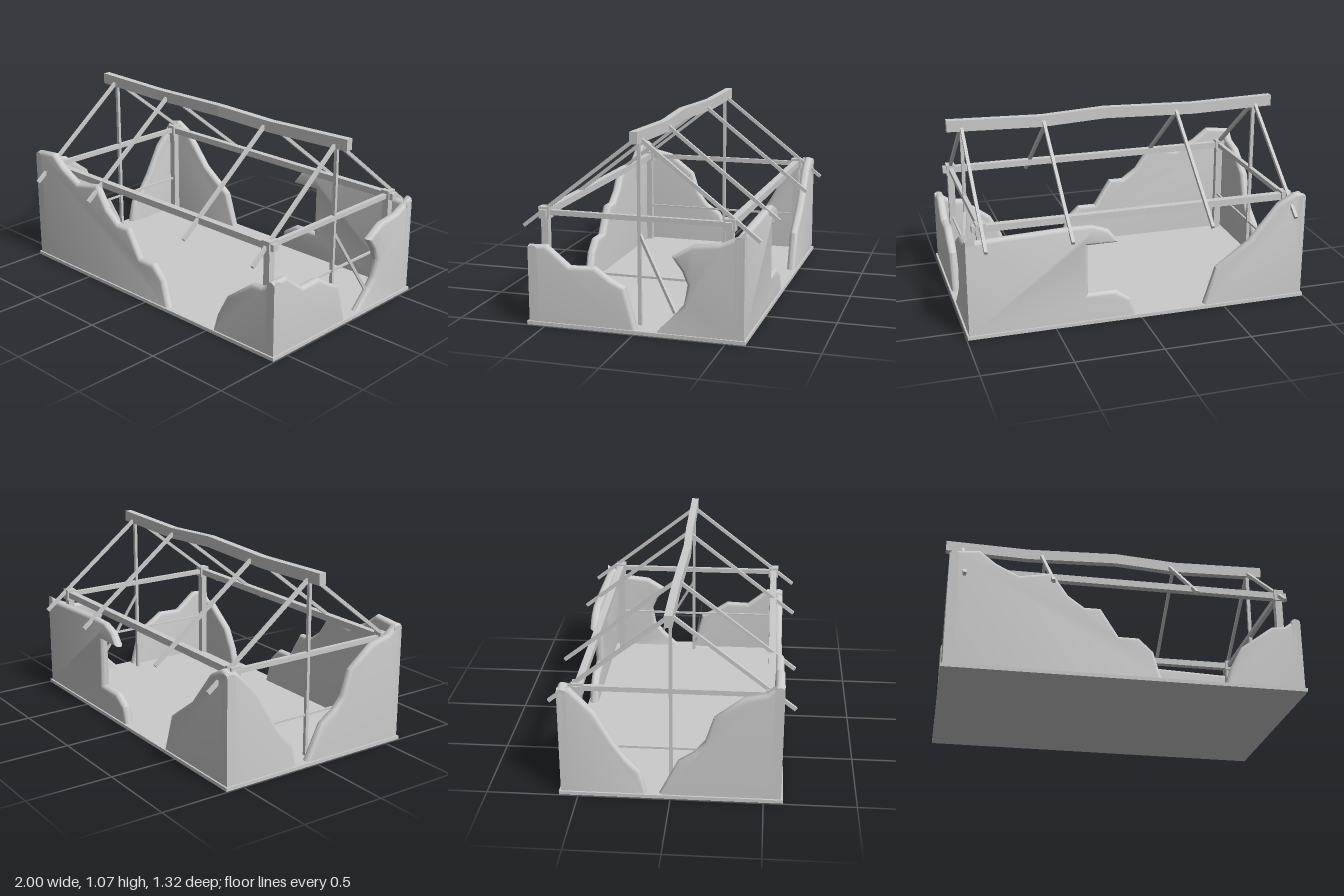
import * as THREE from 'three';
import { toCreasedNormals } from 'three/addons/utils/BufferGeometryUtils.js';

const material = new THREE.MeshStandardMaterial({ color: 0xcccccc });
const BASE = 0.02, BEVEL = 0.022, THICK = 0.052;

function add(group, name, geometry, x = 0, y = 0, z = 0) {
  const mesh = new THREE.Mesh(geometry, material);
  mesh.name = name;
  mesh.position.set(x, y, z);
  group.add(mesh);
  return mesh;
}

// Square-section timber between two points
function timber(group, name, a, b, w, h = w) {
  const p = new THREE.Vector3(...a), q = new THREE.Vector3(...b);
  const mesh = add(group, name, new THREE.BoxGeometry(w, h, p.distanceTo(q)));
  mesh.position.copy(p).add(q).multiplyScalar(0.5);
  mesh.lookAt(q);
  return mesh;
}

// Broken wall slab with rounded edges, squared off at the floor and the house corners
function wallGeometry(outline, limit) {
  const shape = new THREE.Shape(outline.map(([u, y]) => new THREE.Vector2(u, y)));
  const geo = new THREE.ExtrudeGeometry(shape, {
    depth: THICK - 2 * BEVEL, bevelEnabled: true, bevelSize: BEVEL,
    bevelThickness: BEVEL, bevelOffset: -BEVEL, bevelSegments: 4,
  });
  geo.translate(0, 0, -(THICK - 2 * BEVEL) / 2);
  const pos = geo.attributes.position;
  for (let i = 0; i < pos.count; i++) {
    pos.setX(i, THREE.MathUtils.clamp(pos.getX(i), -limit, limit));
    pos.setY(i, Math.max(pos.getY(i), BASE - 0.005));
  }
  return toCreasedNormals(geo, 0.6);
}

export function createModel() {
  const model = new THREE.Group();
  model.name = 'ruinedHouse';

  add(model, 'floorSlab', new THREE.BoxGeometry(1.99, BASE, 1.21), 0, BASE / 2, 0);

  // Wall remains: outlines are [along the wall, height]
  const E = 1.03, F = 0.64, D = -0.03;
  const frontBack = [
    ['frontWallRight', 0.569, [[-E, D], [-E, 0.685], [-0.97, 0.695], [-0.82, 0.71], [-0.73, 0.64], [-0.6, 0.575],
      [-0.42, 0.61], [-0.33, 0.48], [-0.24, 0.415], [-0.15, 0.415], [-0.05, 0.255], [0.06, 0.255],
      [0.14, 0.18], [0.185, 0.02], [0.19, D]]],
    ['frontWallLeft', 0.569, [[0.53, D], [0.54, 0.02], [0.57, 0.12], [0.64, 0.25], [0.82, 0.385], [0.89, 0.39],
      [0.96, 0.44], [E, 0.44], [E, D]]],
    ['backWallLeft', -0.569, [[0.03, D], [0.04, 0.05], [0.06, 0.12], [0.15, 0.18], [0.31, 0.18], [0.31, 0.47],
      [0.13, 0.47], [0.19, 0.55], [0.28, 0.582], [0.4, 0.585], [0.96, 0.565], [E, 0.565], [E, D]]],
    ['backWallRight', -0.569, [[-E, D], [-E, 0.63], [-0.92, 0.645], [-0.82, 0.59], [-0.65, 0.385], [-0.45, 0.24],
      [-0.38, 0.02], [-0.37, D]]],
  ];
  for (const [name, z, outline] of frontBack) add(model, name, wallGeometry(outline, 0.985), 0, 0, z);

  const sides = [
    ['leftWallFront', 0.959, [[F, D], [F, 0.44], [0.49, 0.445], [0.36, 0.34], [0.22, 0.345], [0.13, 0.285],
      [0.05, 0.245], [-0.01, 0.02], [-0.02, D]]],
    ['leftWallBack', 0.959, [[-F, D], [-F, 0.59], [-0.57, 0.57], [-0.46, 0.52], [-0.32, 0.505], [-0.205, 0.435],
      [-0.26, 0.36], [-0.29, 0.29], [-0.27, 0.18], [-0.2, 0.1], [-0.12, 0.02], [-0.09, D]]],
    ['rightWallFront', -0.959, [[F, D], [F, 0.69], [0.55, 0.69], [0.5, 0.64], [0.39, 0.615], [0.23, 0.49],
      [0.185, 0.35], [0.13, 0.28], [0.04, 0.22], [-0.06, 0.02], [-0.07, D]]],
    ['rightWallBack', -0.959, [[-F, D], [-F, 0.63], [-0.53, 0.635], [-0.4, 0.5], [-0.3, 0.32], [-0.23, 0.22],
      [-0.16, 0.15], [-0.13, 0.02], [-0.12, D]]],
  ];
  for (const [name, x, outline] of sides) {
    add(model, name, wallGeometry(outline, 0.595), x, 0, 0).rotation.y = -Math.PI / 2;
  }

  // Timber frame: corner posts, joint blocks, wall plates and tie beams
  const frame = new THREE.Group();
  frame.name = 'timberFrame';
  model.add(frame);
  const plateY = 0.605, xs = [-0.895, 0.885], zs = [-0.495, 0.527];
  for (const z of zs) {
    for (const x of xs) {
      add(frame, 'cornerPost', new THREE.BoxGeometry(0.04, 0.59, 0.04), x, 0.31, z);
      add(frame, 'jointBlock', new THREE.BoxGeometry(0.055, 0.065, 0.062), x, plateY, z);
    }
    add(frame, 'wallPlate', new THREE.BoxGeometry(1.865, 0.038, 0.04), 0, plateY, z);
  }
  for (const x of xs) {
    add(frame, 'tieBeam', new THREE.BoxGeometry(0.025, 0.028, 1.03), x, plateY, 0.016);
    add(frame, 'kingPost', new THREE.BoxGeometry(0.02, 1.0, 0.018), x, 0.52, -0.003);
  }

  // Thin rails and the fallen brace in the gable ends
  timber(frame, 'leftRail', [0.885, 0.288, -0.5], [0.885, 0.288, 0.52], 0.012);
  timber(frame, 'rightRail', [-0.895, 0.258, -0.49], [-0.895, 0.258, 0.52], 0.012);
  timber(frame, 'brace', [0.885, 0.52, -0.003], [0.955, 0.125, -0.22], 0.016);

  // Rafters, slightly staggered between the two slopes
  const roof = new THREE.Group();
  roof.name = 'roofTimbers';
  model.add(roof);
  const rafters = { 1: [-0.9, -0.42, 0.382, 0.885], [-1]: [-0.9, -0.395, 0.41, 0.885] };
  for (const side of [1, -1]) {
    for (const x of rafters[side]) timber(roof, 'rafter', [x, 1.035, 0], [x, 0.523, side * 0.655], 0.018, 0.02);
  }

  // Warped ridge beam: [x, y, z] of each cross-section centre
  const bends = [[-1, 1.042, -0.004], [-0.5, 1.03, -0.004], [0.04, 1.042, 0.014], [0.42, 1.026, 0], [0.97, 1.042, -0.002]];
  let ridge = new THREE.BoxGeometry(4, 0.065, 0.043, 4, 1, 1);
  const pos = ridge.attributes.position;
  for (let i = 0; i < pos.count; i++) {
    const [x, y, z] = bends[Math.round(pos.getX(i) + 2)];
    pos.setXYZ(i, x, pos.getY(i) + y, pos.getZ(i) + z);
  }
  add(roof, 'ridgeBeam', toCreasedNormals(ridge, 0.02));

  return model;
}
